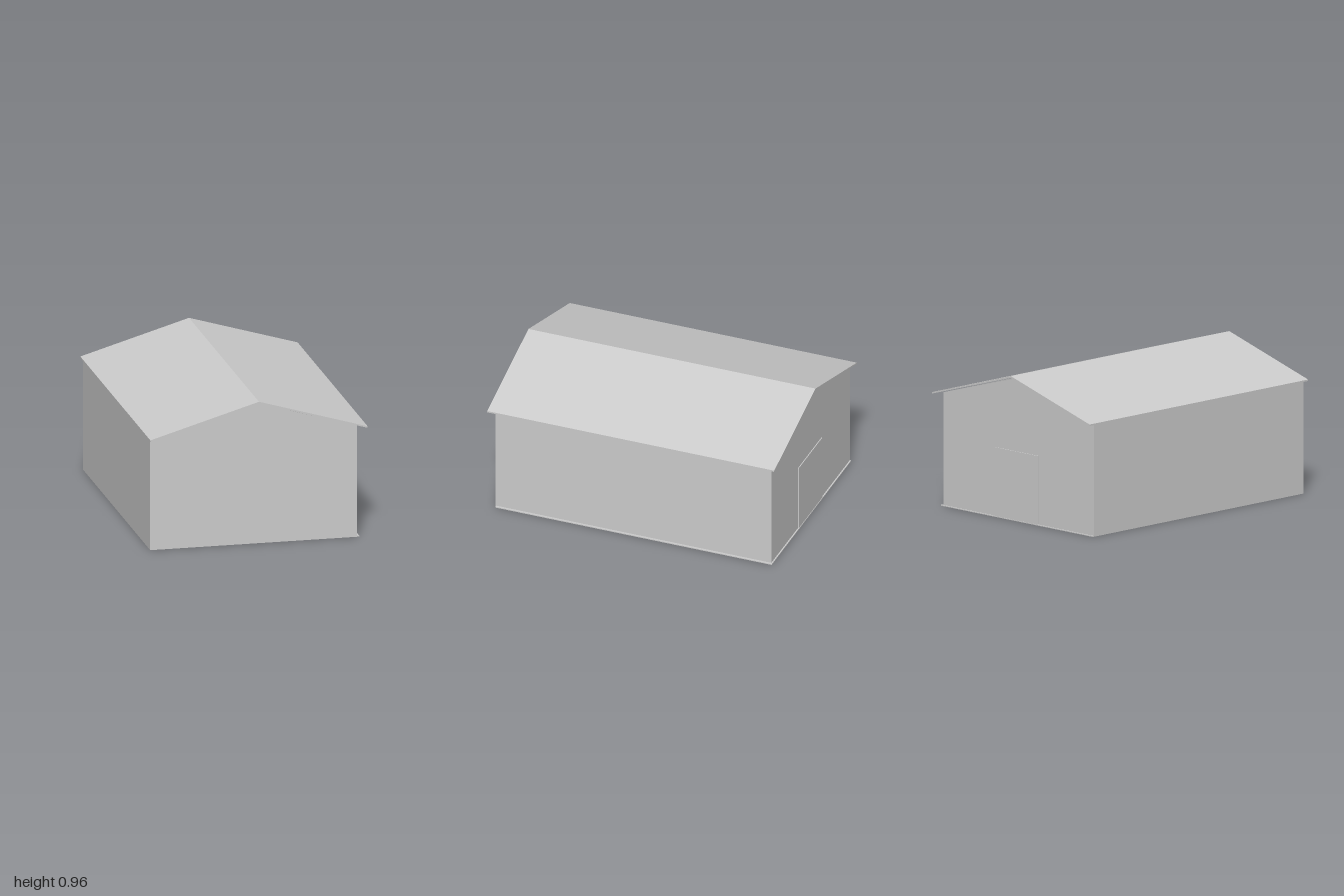
import * as THREE from 'three';

const material = new THREE.MeshStandardMaterial({
  color: 0xcccccc, flatShading: true, side: THREE.DoubleSide,
});

const outline = (points) => new THREE.Shape(points.map(([x, y]) => new THREE.Vector2(x, y)));

export function createModel() {
  const group = new THREE.Group();
  group.name = 'shed';

  const add = (name, geometry, x = 0, y = 0, z = 0) => {
    const mesh = new THREE.Mesh(geometry, material);
    mesh.name = name;
    mesh.position.set(x, y, z);
    group.add(mesh);
    return mesh;
  };

  // Wall extents: a thin shell, open underneath
  const left = 0.66, right = -0.715, front = 0.965, back = -0.955;
  const eave = 0.745;

  // Gable end walls
  const gable = outline([[right, 0], [left, 0], [left, 0.752], [-0.02, 0.946], [right, eave - 0.003]]);
  add('frontWall', new THREE.ShapeGeometry(gable), 0, 0, front);
  const backWall = add('backWall', new THREE.ShapeGeometry(gable), 0, 0, back);
  // Turn the winding outward so the outside is the front face
  backWall.geometry.index.array.reverse();
  backWall.geometry.computeVertexNormals();

  // Long side walls
  for (const [name, x, turn, top] of [
    ['leftWall', left, Math.PI / 2, 0.752],
    ['rightWall', right, -Math.PI / 2, eave - 0.003],
  ]) {
    const wall = add(name, new THREE.PlaneGeometry(front - back, top), x, top / 2, (front + back) / 2);
    wall.rotation.y = turn;
  }

  // Thin pitched roof overhanging all the walls
  const roof = outline([
    [-0.722, 0.74], [0, 0.951], [0.722, 0.74],
    [0.722, 0.75], [0, 0.963], [-0.722, 0.75],
  ]);
  add('roof', new THREE.ExtrudeGeometry(roof, { depth: 2, bevelEnabled: false }), 0, 0, -1);

  // Narrow base frame around the open floor
  const frame = outline([[-0.712, -0.964], [0.675, -0.964], [0.675, 0.962], [-0.712, 0.962]]);
  frame.holes.push(outline([[-0.69, -0.945], [-0.69, 0.945], [0.655, 0.945], [0.655, -0.945]]));
  const frameGeometry = new THREE.ExtrudeGeometry(frame, { depth: 0.006, bevelEnabled: false });
  frameGeometry.rotateX(Math.PI / 2);
  frameGeometry.scale(1, 1, 1);
  add('baseFrame', frameGeometry, 0, 0.006, 0);

  // Door panel standing slightly proud of the back wall
  add('door', new THREE.BoxGeometry(0.41, 0.46, 0.006), -0.01, 0.23, back - 0.003);

  return group;
}
